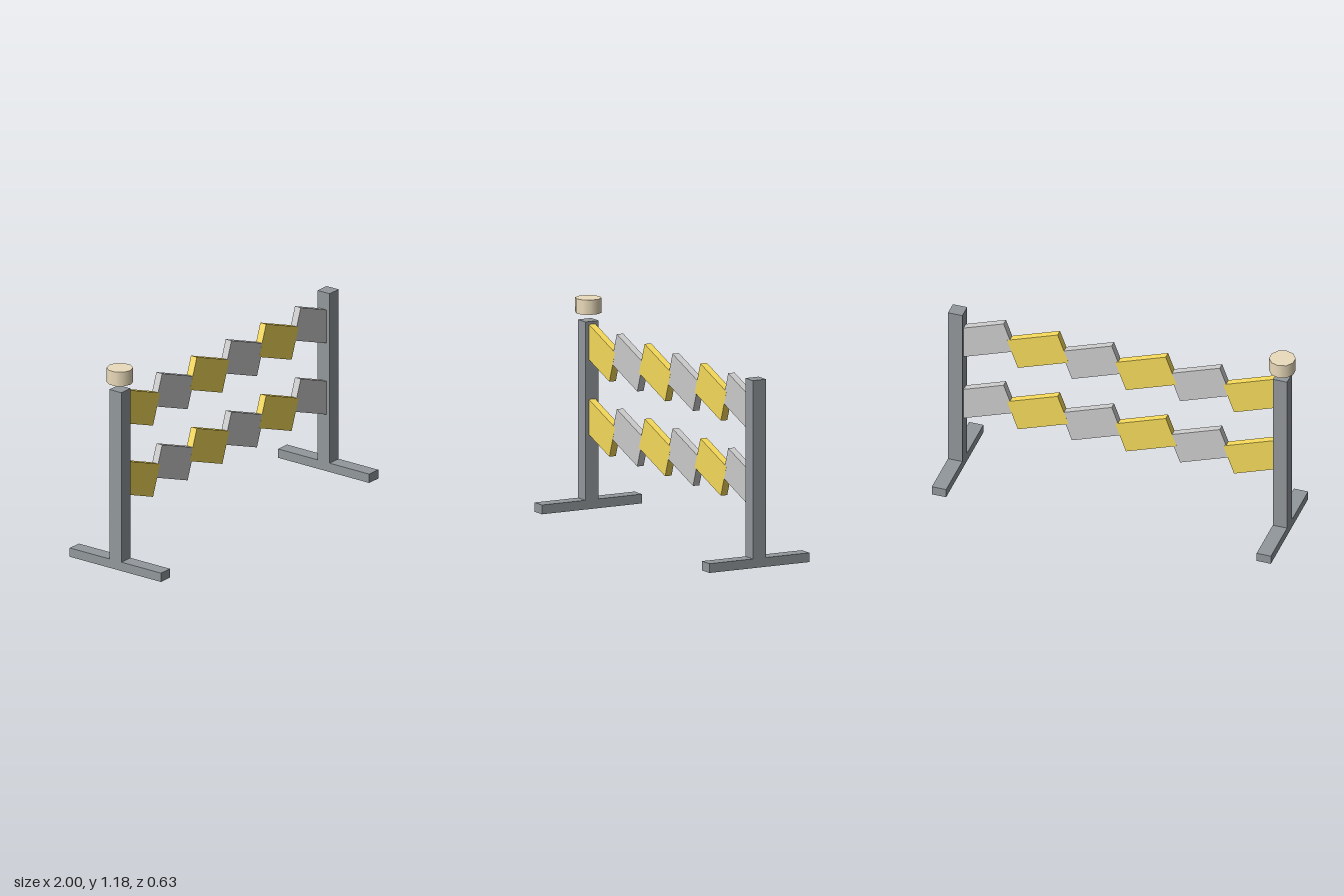
import * as THREE from 'three';

const material = (color) => new THREE.MeshStandardMaterial({ color });

export function createModel() {
  const model = new THREE.Group();
  const steel = material(0x93989c);
  const yellow = material(0xf5d95a);
  const grey = material(0xcccccc);
  const cream = material(0xecdcbc);

  const add = (name, geometry, mat, x, y, z = 0) => {
    const mesh = new THREE.Mesh(geometry, mat);
    mesh.name = name;
    mesh.position.set(x, y, z);
    model.add(mesh);
    return mesh;
  };

  // Upright posts, each on a long foot
  const postX = { right: -0.93, left: 0.957 };
  for (const [side, x] of Object.entries(postX)) {
    add(`${side}Post`, new THREE.BoxGeometry(0.083, 1, 0.083), steel, x, 0.551);
    add(`${side}Foot`, new THREE.BoxGeometry(0.083, 0.052, 0.63), steel, x, 0.026);
  }

  // Two rails of tilted boards in alternating colours
  const middle = (postX.right + postX.left) / 2;
  const rails = { upper: 0.895, lower: 0.475 };
  for (const [rail, y] of Object.entries(rails)) {
    for (let i = 0; i < 6; i++) {
      const isYellow = i % 2 === 0;
      // Yellow boards are a hair thicker so they cover the overlaps cleanly
      const depth = isYellow ? 0.0405 : 0.04;
      const board = add(
        `${rail}Board${i + 1}`,
        new THREE.BoxGeometry(0.313, 0.185, depth),
        isYellow ? yellow : grey,
        middle + (i - 2.5) * 0.314, y
      );
      board.rotation.z = -Math.PI / 9;
    }
  }

  // Warning lamp floating just above the right post
  add('lamp', new THREE.CylinderGeometry(0.073, 0.073, 0.083, 10), cream, postX.right, 1.135);

  return model;
}
